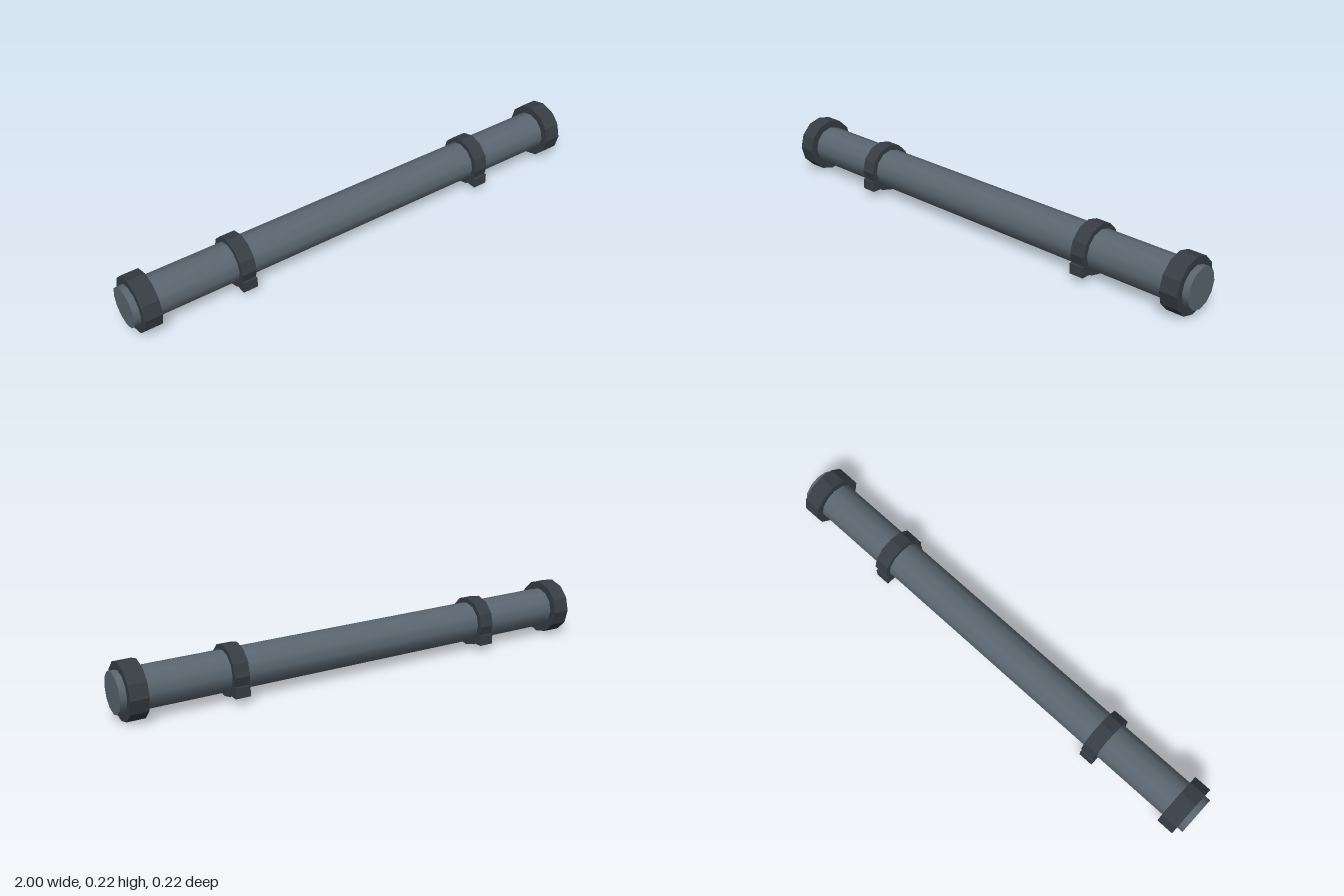
import * as THREE from 'three';

const AXIS_Y = 0.11; // height of the pipe's centre line
const SIDES = 12;

export function createModel() {
  const model = new THREE.Group();
  model.name = 'pipeSegment';

  const pipeMaterial = new THREE.MeshStandardMaterial({ color: 0x5a6670 });
  const fittingMaterial = new THREE.MeshStandardMaterial({ color: 0x363d44, flatShading: true });

  // Cylinder lying along x, with a corner pointing straight up
  function lyingCylinder(name, radius, length, x, material) {
    const geometry = new THREE.CylinderGeometry(radius, radius, length, SIDES);
    geometry.rotateZ(Math.PI / 2);
    const mesh = new THREE.Mesh(geometry, material);
    mesh.name = name;
    mesh.position.set(x, AXIS_Y, 0);
    return mesh;
  }

  // Main pipe
  model.add(lyingCylinder('pipe', 0.08, 2, 0, pipeMaterial));

  for (const [side, sign] of [['left', 1], ['right', -1]]) {
    // End flange, set slightly in from the pipe's end
    model.add(lyingCylinder(`${side}Flange`, 0.11, 0.07, sign * 0.94, fittingMaterial));

    // Support clamp: ring around the pipe and a foot block across it
    const clamp = new THREE.Group();
    clamp.name = `${side}Clamp`;
    clamp.add(lyingCylinder('clampRing', 0.1, 0.06, sign * 0.55, fittingMaterial));
    const foot = new THREE.Mesh(new THREE.BoxGeometry(0.06, 0.042, 0.2), fittingMaterial);
    foot.name = 'clampFoot';
    foot.position.set(sign * 0.55, 0.052, 0);
    clamp.add(foot);
    model.add(clamp);
  }

  return model;
}
